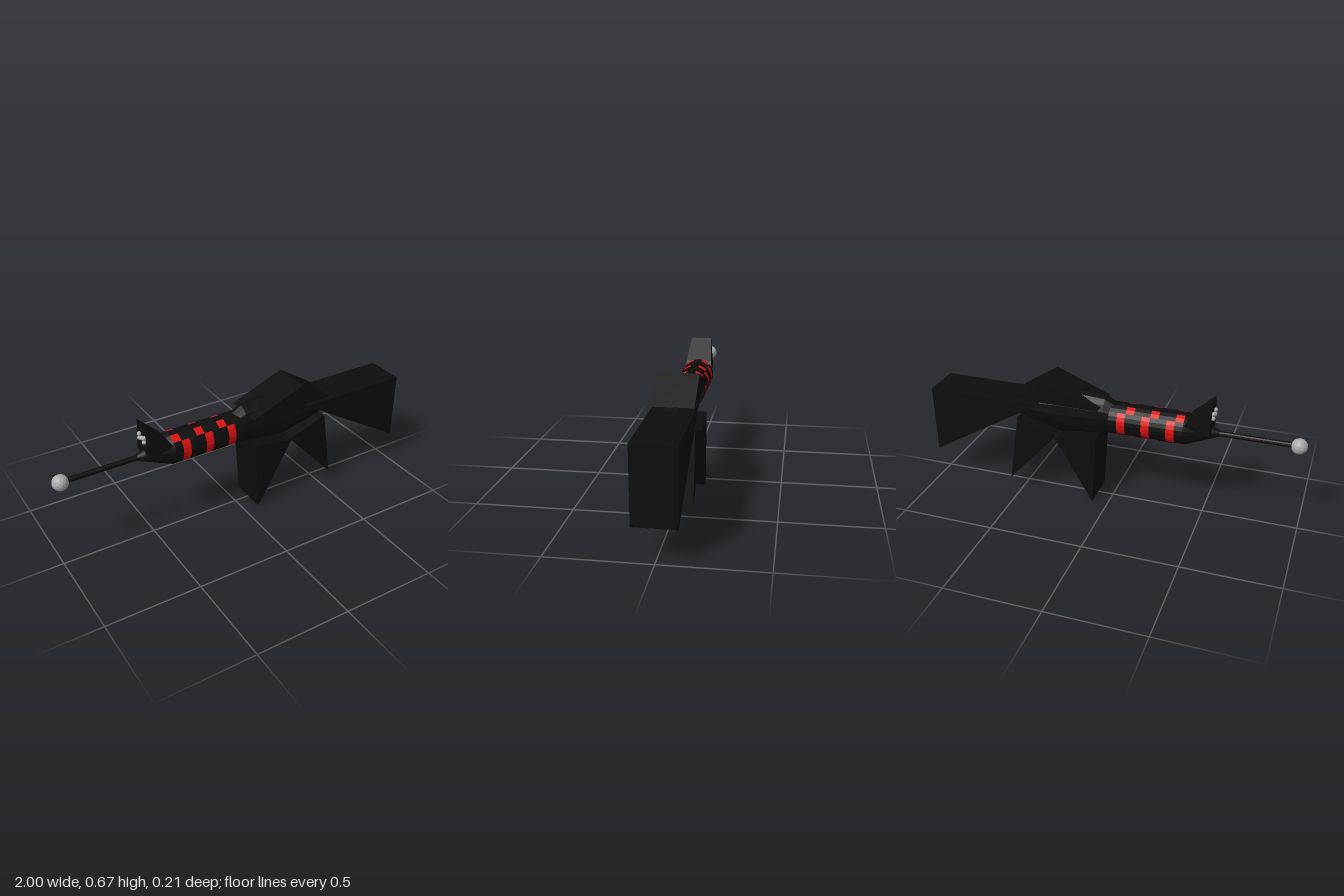
import * as THREE from 'three';

export function createModel() {
  const model = new THREE.Group();
  const make = (name, color) => {
    const m = new THREE.MeshStandardMaterial({ color, flatShading: true });
    m.name = name;
    return m;
  };
  const black = make('black', 0x0d0d0d);
  const red = make('red', 0xdd1010);
  const grey = make('grey', 0xaaaaaa);

  const add = (name, geometry, material = black, x = 0, y = 0, z = 0) => {
    const mesh = new THREE.Mesh(geometry, material);
    mesh.name = name;
    mesh.position.set(x, y, z);
    model.add(mesh);
    return mesh;
  };

  // Cylinder lying along x, from x0 (radius r0) to x1 (radius r1)
  const AXIS = 0.485;
  const tube = (x0, r0, x1, r1, sides, rows = 1) =>
    new THREE.CylinderGeometry(r0, r1, x1 - x0, sides, rows)
      .rotateZ(Math.PI / 2)
      .translate((x0 + x1) / 2, AXIS, 0);

  // Side profile extruded evenly about z = 0
  const slab = (points, halfWidth = 0.104) =>
    new THREE.ExtrudeGeometry(
      new THREE.Shape(points.map(([x, y]) => new THREE.Vector2(x, y))),
      { depth: halfWidth * 2, bevelEnabled: false }
    ).translate(0, 0, -halfWidth);

  // Muzzle ball, barrel and tapered nose
  add('muzzleBall', new THREE.IcosahedronGeometry(0.041, 2), grey, -0.959, 0.483, 0);
  add('barrel', tube(-0.94, 0.014, -0.55, 0.014, 12));
  add('nose', tube(-0.565, 0.016, -0.39, 0.085, 24));

  // Handguard with a checked red pattern
  const sides = 24, columns = 9;
  const guard = tube(-0.39, 0.085, 0, 0.085, sides, columns);
  guard.clearGroups();
  for (let i = 0; i < sides; i++) {
    const angle = ((i + 0.5) / sides) * Math.PI * 2;
    const slope = Math.asin(Math.abs(Math.sin(angle))) * 180 / Math.PI;
    const redColumn = slope < 45 ? 1 : slope < 75 ? 0 : -1;
    for (let j = 0; j < columns; j++) {
      guard.addGroup((i * columns + j) * 6, 6, j % 3 === redColumn ? 1 : 0);
    }
  }
  const torso = sides * columns * 6;
  guard.addGroup(torso, guard.index.count - torso, 0);
  add('handguard', guard, [black, red]);

  // Receiver: oval sections as [x, bottom, top, half width]
  const sections = [
    [-0.02, 0.405, 0.57, 0.06],
    [0.035, 0.39, 0.6, 0.068],
    [0.12, 0.378, 0.608, 0.076],
    [0.28, 0.36, 0.62, 0.08],
    [0.42, 0.395, 0.59, 0.076],
    [0.55, 0.44, 0.535, 0.06],
  ];
  const last = sections.length - 1;
  const receiver = new THREE.CylinderGeometry(1, 1, last, 16, last).rotateZ(Math.PI / 2);
  const p = receiver.attributes.position;
  for (let i = 0; i < p.count; i++) {
    const [x, low, high, half] = sections[Math.round(p.getX(i) + last / 2)];
    p.setXYZ(i, x, (low + high) / 2 + (p.getY(i) * (high - low)) / 2, p.getZ(i) * half);
  }
  receiver.computeVertexNormals();
  add('receiver', receiver);

  // Wide wedges
  add('topCover', slab([[0.05, 0.558], [0.53, 0.558], [0.345, 0.675]]));
  add('magazine', slab([[0.06, 0.4], [0.085, 0.003], [0.29, 0.36]]));
  add('grip', slab([[0.285, 0.37], [0.56, 0.065], [0.5, 0.45]]));
  add('stock', slab([[0.38, 0.54], [1, 0.17], [1, 0.542]]));

  // Front sight fin, narrower at the tip
  const fin = slab([[-0.525, 0.49], [-0.395, 0.53], [-0.41, 0.555], [-0.525, 0.665]], 0.07);
  const f = fin.attributes.position;
  for (let i = 0; i < f.count; i++) {
    if (f.getY(i) > 0.6) f.setZ(i, f.getZ(i) * 0.8);
  }
  fin.computeVertexNormals();
  add('frontSight', fin);

  // Small studs on the front of the sight
  for (const z of [-0.026, 0.026]) {
    for (const y of [0.577, 0.6]) {
      add('sightStud', new THREE.IcosahedronGeometry(0.012, 1), grey, -0.53, y, z);
    }
  }
  add('sightStud', new THREE.IcosahedronGeometry(0.012, 1), grey, -0.53, 0.588, 0);

  return model;
}
